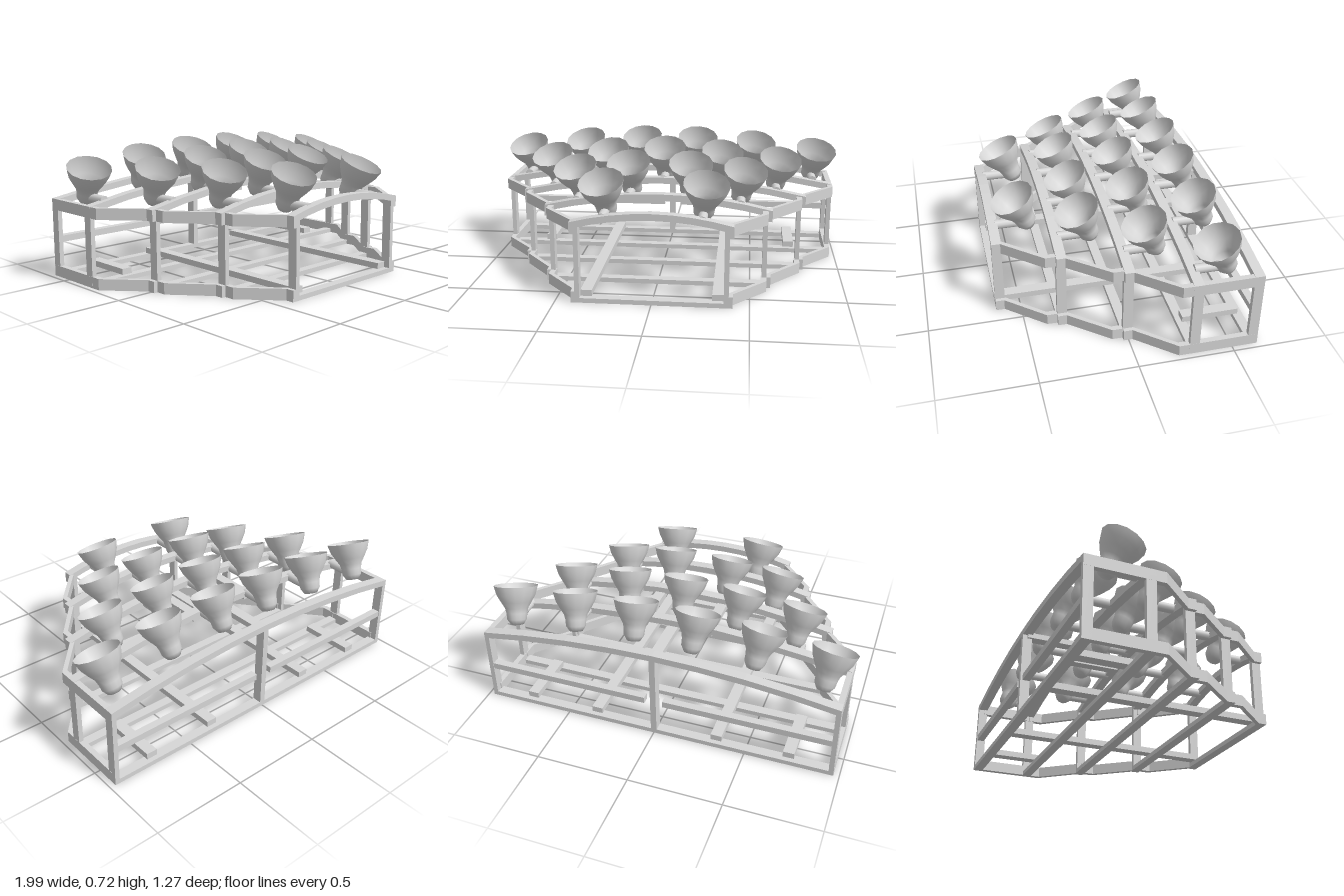
import * as THREE from 'three';

const frameMat = new THREE.MeshStandardMaterial({ color: 0xd6d6d6 });
frameMat.name = 'frame grey';
const lampMat = new THREE.MeshStandardMaterial({ color: 0xd4d4d4, side: THREE.DoubleSide });
lampMat.name = 'lamp grey';

export function createModel() {
  const root = new THREE.Group();

  const add = (parent, name, geo, mat = frameMat) => {
    const m = new THREE.Mesh(geo, mat);
    m.name = name;
    parent.add(m);
    return m;
  };
  // Box given by its limits on each axis
  const box = (name, x0, x1, y0, y1, z0, z1) =>
    add(root, name, new THREE.BoxGeometry(x1 - x0, y1 - y0, z1 - z0))
      .position.set((x0 + x1) / 2, (y0 + y1) / 2, (z0 + z1) / 2);

  // Side rail: plan points thickened into a bent vertical plate
  const rail = (name, pts, y0, y1, s) => {
    const t = 0.03;
    const outer = pts.map(([x, z]) => new THREE.Vector2(s * x, -z));
    const inner = pts.map(([x, z]) => new THREE.Vector2(s * (x - t), -z)).reverse();
    const shape = new THREE.Shape([...outer, ...inner]);
    const geo = new THREE.ExtrudeGeometry(shape, { depth: y1 - y0, bevelEnabled: false });
    add(root, name, geo.rotateX(-Math.PI / 2)).position.y = y0;
  };

  // Bowed top bar as an extruded band
  const arch = (z, w, peak) => {
    const top = [], under = [];
    for (let i = 0; i <= 8; i++) {
      const u = i / 4 - 1;
      const y = 0.43 + (peak - 0.43) * (1 - u * u);
      top.push(new THREE.Vector2(u * w, y));
      under.unshift(new THREE.Vector2(u * w, y - 0.035));
    }
    const geo = new THREE.ExtrudeGeometry(new THREE.Shape([...top, ...under]), { depth: 0.052, bevelEnabled: false });
    add(root, 'archBar', geo).position.z = z - 0.026;
  };

  // Cross frames: z, half width, post centre, arch peak
  const rows = [
    [-0.607, 0.97, 0.957, 0.515], [-0.297, 0.97, 0.957, 0.525], [0, 0.8, 0.765, 0.52],
    [0.305, 0.61, 0.575, 0.505], [0.607, 0.415, 0.382, 0.485],
  ];
  rows.forEach(([z, w, px, peak]) => {
    arch(z, w, peak);
    box('bottomBar', -w, w, 0, 0.025, z - 0.026, z + 0.026);
    for (const s of [-1, 1]) {
      const x = s * px;
      box('post', x - 0.0125, x + 0.0125, 0, 0.43, z - 0.026, z + 0.026);
      // Short end blocks where the side rails meet the row
      for (const y of [0, 0.37]) {
        const a = s * (px - 0.0125), b = s * w;
        box('endBlock', Math.min(a, b), Math.max(a, b), y, y + 0.06, z - 0.026, z + 0.026);
      }
    }
  });

  for (const s of [-1, 1]) {
    // Side rails: straight along the back bay, then stepping in toward the front
    const paths = [[[0.97, -0.6], [0.97, -0.3]]];
    for (let i = 1; i < 4; i++) {
      const x = rows[i][2] + 0.0125, z = rows[i][0];
      paths.push([[x, z], [x, z + 0.08], [rows[i + 1][1], rows[i + 1][0] - 0.02]]);
    }
    paths.forEach((p) => {
      rail('lowerSideRail', p, 0, 0.06, s);
      rail('upperSideRail', p, 0.37, 0.43, s);
    });
    // Middle rail of the back and lengthwise bars
    const span = (n, xa, xb, ...r) => box(n, Math.min(s * xa, s * xb), Math.max(s * xa, s * xb), ...r);
    span('middleRail', 0.05, 0.95, 0.19, 0.225, -0.63, -0.59);
    span('longFloorBar', 0.31, 0.37, 0.025, 0.058, -0.607, 0.6);
    span('backFloorBar', 0.7, 0.76, 0.025, 0.058, -0.607, -0.3);
    span('upperBar', 0.155, 0.21, 0.455, 0.485, -0.3, 0);
  }
  box('centreUpperBar', -0.03, 0.03, 0.46, 0.49, -0.607, -0.3);
  box('centrePost', -0.016, 0.016, 0, 0.5, -0.633, -0.581);

  // Open bell-shaped lamp, origin at the rim centre, opening toward +y
  const profile = [
    [0, -0.215], [0.036, -0.214], [0.054, -0.185], [0.057, -0.15], [0.064, -0.122],
    [0.085, -0.088], [0.106, -0.05], [0.117, -0.012], [0.12, 0],
  ].map(([r, y]) => new THREE.Vector2(r, y));
  const bell = new THREE.LatheGeometry(profile, 14);
  const arm = new THREE.CylinderGeometry(0.025, 0.025, 0.13, 10).rotateX(Math.PI / 2);

  const lamp = (x, y, z) => {
    const g = new THREE.Group();
    g.name = 'lamp';
    g.position.set(x, y, z);
    const lean = -Math.sign(x) * Math.min(0.14, Math.abs(x) * 0.35);
    add(g, 'lampBell', bell, lampMat).rotation.set(0.42, 0, lean);
    add(g, 'lampArm', arm).position.set(lean * 0.17, -0.165, 0.03);
    root.add(g);
  };

  // Lamp rows: z, then pairs of x and rim height
  [
    [-0.4, [[0.88, 0.61], [0.52, 0.65], [0.17, 0.67]]],
    [-0.1, [[0.66, 0.615], [0.33, 0.65], [0, 0.667]]],
    [0.2, [[0.465, 0.615], [0.17, 0.645]]],
    [0.5, [[0.27, 0.61]]],
  ].forEach(([z, lamps]) => lamps.forEach(([x, y]) => {
    lamp(x, y, z);
    if (x) lamp(-x, y, z);
  }));

  return root;
}
